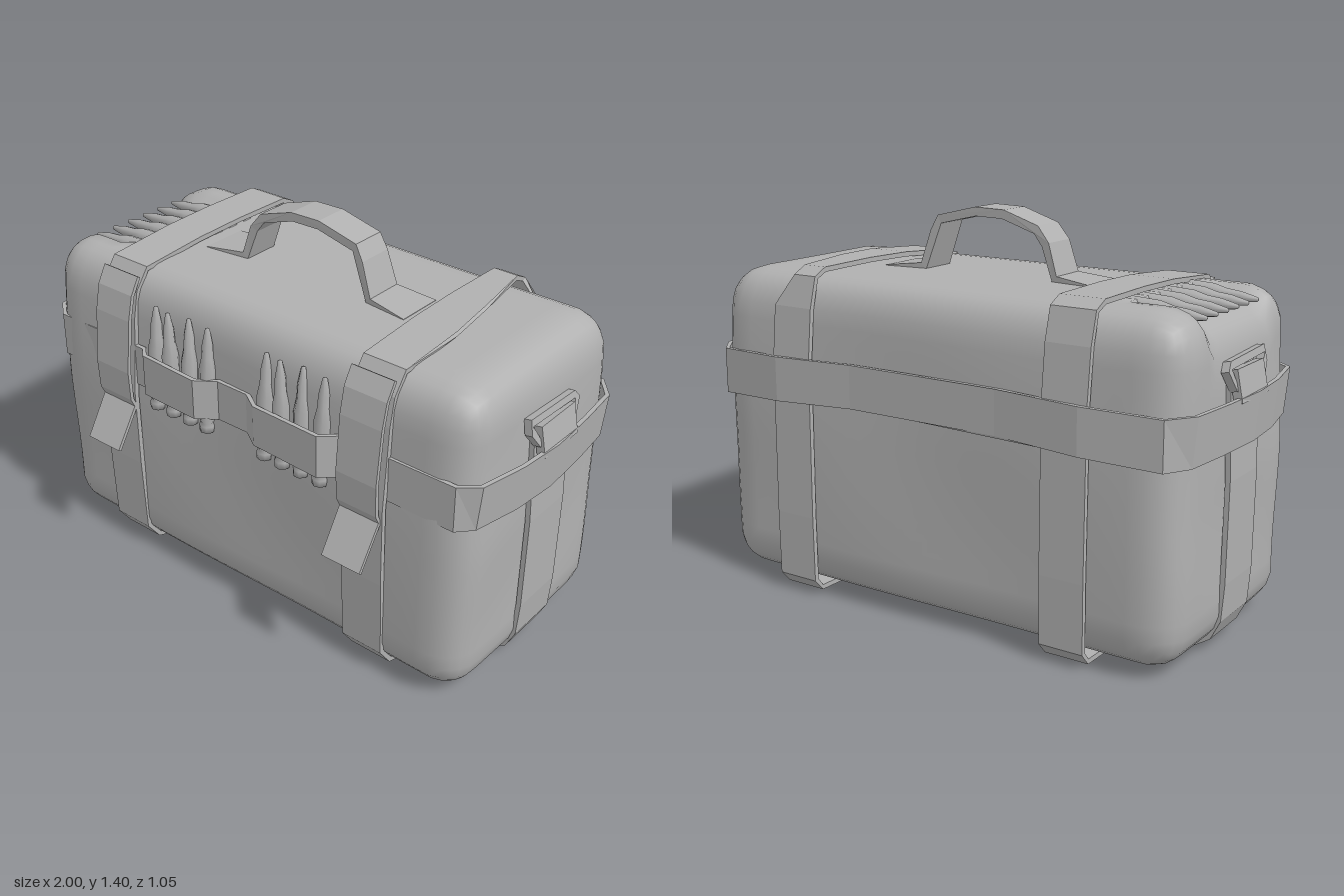
import * as THREE from 'three';
import { mergeVertices } from 'three/addons/utils/BufferGeometryUtils.js';

const canvas = new THREE.MeshStandardMaterial({ color: 0xb0b0b0 });
canvas.name = 'grey canvas';

function add(parent, name, geometry) {
  const mesh = new THREE.Mesh(geometry, canvas);
  mesh.name = name;
  parent.add(mesh);
  return mesh;
}

// Flat webbing: a path given thickness and extruded to a width, centred on z
function webbing(path, width, thick, closed) {
  const pts = path.map(([x, y]) => new THREE.Vector2(x, y));
  if (closed && THREE.ShapeUtils.area(pts) < 0) pts.reverse();
  const n = pts.length;
  const inner = pts.map((p, i) => {
    const a = closed ? pts[(i + n - 1) % n] : pts[Math.max(i - 1, 0)];
    const b = closed ? pts[(i + 1) % n] : pts[Math.min(i + 1, n - 1)];
    const t = b.clone().sub(a).normalize();
    return new THREE.Vector2(p.x - t.y * thick, p.y + t.x * thick);
  });
  let shape;
  if (closed) {
    shape = new THREE.Shape(pts);
    shape.holes.push(new THREE.Path(inner));
  } else {
    shape = new THREE.Shape([...pts, ...inner.reverse()]);
  }
  return new THREE.ExtrudeGeometry(shape, { depth: width, bevelEnabled: false }).translate(0, 0, -width / 2);
}

// Move each vertex by a rule
function sculpt(geometry, rule) {
  const pos = geometry.attributes.position;
  const v = new THREE.Vector3();
  for (let i = 0; i < pos.count; i++) {
    rule(v.fromBufferAttribute(pos, i));
    pos.setXYZ(i, v.x, v.y, v.z);
  }
  geometry.computeVertexNormals();
  return geometry;
}

// Soft padded bag with rounded edges and a dished corner for the cartridges
function bagGeometry() {
  const half = new THREE.Vector3(0.945, 0.572, 0.445), r = 0.13;
  const core = half.clone().subScalar(r), low = core.clone().negate();
  let g = new THREE.BoxGeometry(half.x * 2, half.y * 2, half.z * 2, 34, 20, 18);
  g.deleteAttribute('uv');
  g.deleteAttribute('normal');
  g = mergeVertices(g);
  return sculpt(g, (v) => {
    const c = v.clone().clamp(low, core);
    v.sub(c).setLength(r).add(c);
    const up = Math.max(0, v.y / half.y);
    v.z *= 1 - 0.06 * up * up;
    v.x *= 1 - 0.015 * up + 0.004 * Math.sin(v.y * 9 + v.z * 5);
    v.z += 0.007 * Math.sin(v.x * 5.5) * Math.sin(v.y * 5);
    if (v.y > 0.4 && v.x < -0.66 && Math.abs(v.z - 0.03) < 0.25) v.y -= 0.05;
    v.y += 0.598;
    v.z -= 0.04;
  });
}

// Cartridge with rim, case, shoulder and pointed tip, standing on its base
function cartridgeGeometry() {
  const profile = [[0, 0], [0.027, 0], [0.029, 0.025], [0.023, 0.035], [0.03, 0.05], [0.031, 0.24],
    [0.021, 0.29], [0.019, 0.34], [0.008, 0.4], [0, 0.405]];
  return new THREE.LatheGeometry(profile.map(([x, y]) => new THREE.Vector2(x, y)), 8);
}

export function createModel() {
  const model = new THREE.Group();
  model.name = 'strappedBag';
  add(model, 'bagBody', bagGeometry());

  // Two straps around the bag, each with a loose tail in front (path in z, y)
  const loop = [[0.33, 1.175], [0.06, 1.195], [-0.15, 1.2], [-0.4, 1.197], [-0.455, 1.17], [-0.485, 1.06],
    [-0.505, 0.87], [-0.512, 0.3], [-0.51, 0.06], [-0.47, 0.015], [0.3, 0.005], [0.36, 0.025],
    [0.415, 0.1], [0.427, 0.4], [0.43, 0.7], [0.405, 1.0], [0.385, 1.1]];
  const tail = [[0.37, 1.15], [0.405, 1.09], [0.425, 1.0], [0.445, 0.8], [0.44, 0.69], [0.425, 0.65], [0.52, 0.5]];
  for (const side of [-1, 1]) {
    const strap = new THREE.Group();
    strap.name = side < 0 ? 'rightStrap' : 'leftStrap';
    strap.position.x = side * 0.562;
    model.add(strap);
    const ring = webbing(loop, 0.165, 0.018, true).rotateY(-Math.PI / 2);
    // The left strap is folded narrower toward the back of the top
    if (side > 0) sculpt(ring, (v) => {
      if (v.y > 1.14 && v.z < 0 && v.x > 0) v.x -= 0.07 * Math.min(1, -v.z / 0.4);
    });
    add(strap, 'strapLoop', ring);
    add(strap, 'strapTail', sculpt(webbing(tail, 0.165, 0.014, false).rotateY(-Math.PI / 2), (v) => {
      v.x = v.x * (0.9 + 0.1 * v.y) - side * 0.005;
    }));
  }

  // Belt around the sides, bulging over the cartridges (path in x, z)
  const belt = [[-0.88, 0.4], [-0.44, 0.415], [-0.4, 0.452], [-0.15, 0.462], [-0.08, 0.41], [0.05, 0.41],
    [0.12, 0.455], [0.4, 0.465], [0.45, 0.415], [0.89, 0.395], [0.95, 0.34], [0.985, 0.16], [0.998, -0.02],
    [0.985, -0.22], [0.965, -0.4], [0.9, -0.485], [0.62, -0.522], [0.3, -0.5], [-0.3, -0.5], [-0.62, -0.522],
    [-0.9, -0.49], [-0.965, -0.4], [-0.985, -0.22], [-0.998, -0.02], [-0.985, 0.16], [-0.95, 0.34]];
  const beltGeometry = webbing(belt.map(([x, z]) => [x, -z]), 0.15, 0.016, true).rotateX(-Math.PI / 2);
  add(model, 'belt', sculpt(beltGeometry, (v) => {
    const wide = 1 + 0.12 * Math.abs(v.x);
    const droop = 0.02 * Math.min(1, Math.max(0, Math.abs(v.x) - 0.4) * 2);
    // Twisted webbing leans outward at the ends
    if (Math.abs(v.x) > 0.93) v.x += Math.sign(v.x) * (v.y > 0 ? 0.004 : -0.012);
    v.y = v.y * wide + 0.815 - droop + 0.012 * v.z;
  }));

  // Long strap under the bag and up both ends (path in x, y)
  const under = [[0.92, 1.0], [0.955, 0.93], [0.968, 0.6], [0.965, 0.25], [0.955, 0.12], [0.92, 0.05], [0.86, 0.012]];
  const cradle = [...under, ...under.map(([x, y]) => [-x, y]).reverse()];
  add(model, 'lengthwiseStrap', webbing(cradle, 0.21, -0.018, false).translate(0, 0, -0.045));

  // Buckle frames and strap keepers at both ends (path in z, y)
  const frame = [[0.095, 1.005], [-0.165, 0.995], [-0.19, 0.965], [-0.15, 0.895], [0.06, 0.895], [0.1, 0.95]];
  for (const side of [-1, 1]) {
    const buckle = new THREE.Group();
    buckle.name = side < 0 ? 'rightBuckle' : 'leftBuckle';
    buckle.position.set(side * 0.955, 0.95, 0);
    buckle.rotation.z = side * 0.2;
    model.add(buckle);
    add(buckle, 'buckleFrame', webbing(frame, 0.028, 0.026, true).rotateY(-Math.PI / 2).translate(0, -0.95, 0));
    add(buckle, 'strapKeeper', new THREE.BoxGeometry(0.03, 0.11, 0.2)).position.set(side * 0.008, -0.04, -0.045);
  }

  // Carrying handle, narrower at the grip (path in x, y)
  const handle = [[-0.44, 1.172], [-0.28, 1.19], [-0.245, 1.3], [-0.2, 1.355], [-0.06, 1.4], [0.06, 1.403],
    [0.22, 1.365], [0.25, 1.31], [0.29, 1.19], [0.44, 1.172]];
  add(model, 'handle', sculpt(webbing(handle, 0.13, -0.032, false), (v) => {
    v.z = v.z * (1 + 0.4 * THREE.MathUtils.smoothstep(Math.abs(v.x), 0.2, 0.42)) - 0.022;
  }));

  // Front cartridges held behind the belt
  const cartridge = cartridgeGeometry();
  for (const start of [-0.38, 0.13]) {
    for (let i = 0; i < 4; i++) {
      const round = add(model, 'frontCartridge', cartridge);
      round.position.set(start + i * 0.081, 0.68, 0.412);
      round.rotation.set(-0.03, i, i % 2 ? 0.03 : -0.02);
    }
  }

  // Cartridges lying on top, tucked under the right strap
  for (let i = 0; i < 6; i++) {
    const round = add(model, 'topCartridge', cartridge);
    round.position.set(-0.49, 1.155, -0.205 + i * 0.078);
    round.rotation.z = Math.PI / 2 + 0.06;
  }
  return model;
}
